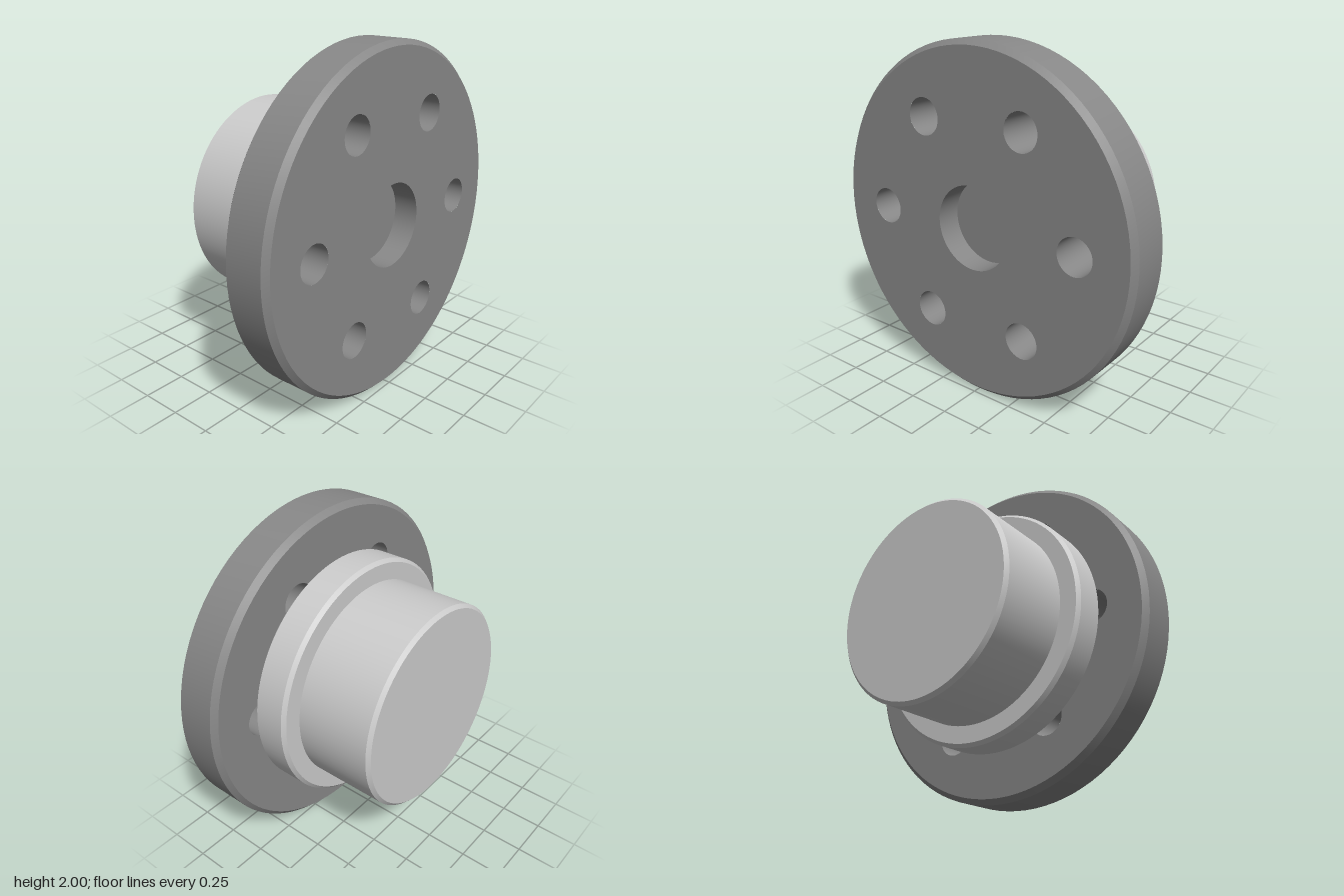
import * as THREE from 'three';
import { toCreasedNormals } from 'three/addons/utils/BufferGeometryUtils.js';

const BACK = 0.2, FRONT = 0.485, POCKET = 0.34; // flange faces and pocket floor along x
const R = 1, CH = 0.03, BORE = 0.24, BOLT = 0.105, PITCH = 0.66;

const light = new THREE.MeshStandardMaterial({ color: 0xcccccc });
light.name = 'light steel';
const dark = new THREE.MeshStandardMaterial({ color: 0x888888 });
dark.name = 'dark steel';

// Surface turned about the x axis from [radius, x] pairs; descending x faces inward
function turned(name, profile, material, segments = 96) {
  const geo = new THREE.LatheGeometry(profile.map(([r, x]) => new THREE.Vector2(r, x)), segments);
  geo.rotateZ(-Math.PI / 2);
  const mesh = new THREE.Mesh(toCreasedNormals(geo, 0.5), material);
  mesh.name = name;
  return mesh;
}

const boltCentres = Array.from({ length: 6 }, (_, i) => {
  const a = (i * Math.PI) / 3;
  return [PITCH * Math.cos(a), PITCH * Math.sin(a)];
});

// Flat flange face with its round openings
function flangeFace(name, x, dir, withBore) {
  const shape = new THREE.Shape().absarc(0, 0, R - CH, 0, Math.PI * 2);
  const openings = boltCentres.map(([z, y]) => [z, y, BOLT]);
  if (withBore) openings.push([0, 0, BORE]);
  for (const [z, y, r] of openings) {
    shape.holes.push(new THREE.Path().absarc(z, y, r, 0, Math.PI * 2, true));
  }
  const geo = new THREE.ShapeGeometry(shape, 48);
  geo.rotateY((dir * Math.PI) / 2).translate(x, 0, 0);
  const mesh = new THREE.Mesh(geo, dark);
  mesh.name = name;
  return mesh;
}

export function createModel() {
  const model = new THREE.Group();
  model.name = 'flangedHub';

  // Flange: chamfered rim, two faces, blind pocket and bolt holes
  const flange = new THREE.Group();
  flange.name = 'flange';
  flange.add(
    turned('flangeRim', [[R - CH, BACK], [R, BACK + CH], [R, FRONT - CH], [R - CH, FRONT]], dark),
    flangeFace('flangeOuterFace', FRONT, 1, true),
    flangeFace('flangeInnerFace', BACK, -1, false),
    turned('centrePocketWall', [[BORE, FRONT], [BORE, POCKET]], dark),
    turned('centrePocketFloor', [[BORE, POCKET], [0, POCKET]], dark)
  );
  for (const [z, y] of boltCentres) {
    const hole = turned('boltHole', [[BOLT, FRONT], [BOLT, BACK]], dark, 48);
    hole.position.set(0, y, z);
    flange.add(hole);
  }

  // Stepped hub: narrow boss and wider collar, both chamfered
  const hub = new THREE.Group();
  hub.name = 'hub';
  hub.add(
    turned('boss', [[0, -0.485], [0.58, -0.485], [0.6, -0.465], [0.6, -0.015]], light),
    turned('collar', [[0.58, -0.015], [0.7, -0.015], [0.72, 0.005], [0.72, 0.18], [0.7, 0.199], [0, 0.199]], light)
  );

  model.add(flange, hub);
  for (const part of [flange, hub]) part.position.y = 1;
  return model;
}
